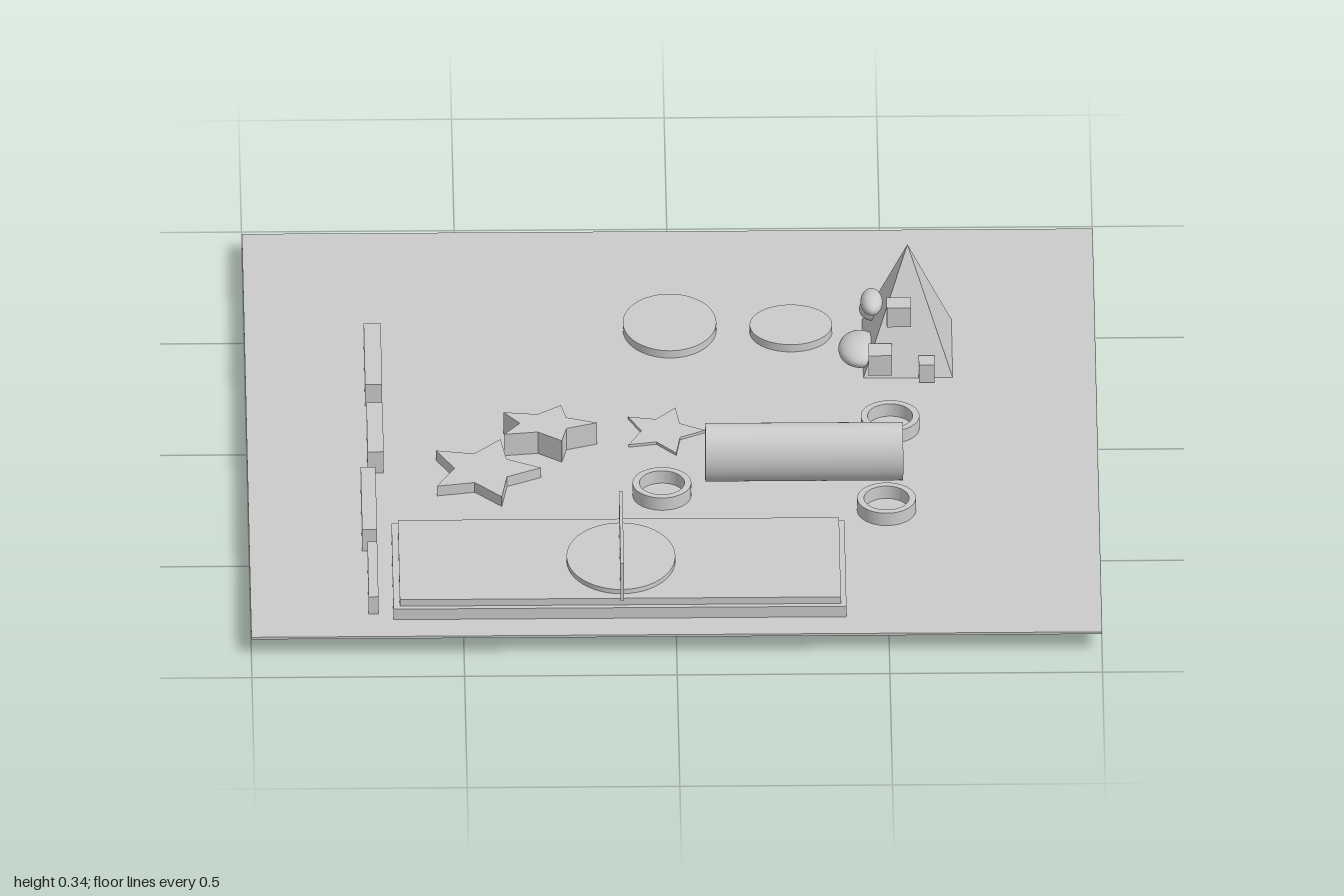
import * as THREE from 'three';

export function createModel() {
  const root = new THREE.Group();
  const mat = new THREE.MeshStandardMaterial({ color: 0xcccccc });
  const flat = new THREE.MeshStandardMaterial({ color: 0xcccccc, flatShading: true });
  const open = new THREE.MeshStandardMaterial({ color: 0xcccccc, side: THREE.DoubleSide });

  const add = (name, geo, x = 0, y = 0, z = 0, material = mat) => {
    const mesh = new THREE.Mesh(geo, material);
    mesh.name = name;
    mesh.position.set(x, y, z);
    root.add(mesh);
    return mesh;
  };
  // Box given by its limits on each axis
  const box = (name, x0, x1, y0, y1, z0, z1) =>
    add(name, new THREE.BoxGeometry(x1 - x0, y1 - y0, z1 - z0), (x0 + x1) / 2, (y0 + y1) / 2, (z0 + z1) / 2);
  // Flat elliptical disc
  const disc = (name, x, z, rx, rz, y0, y1) =>
    add(name, new THREE.CylinderGeometry(1, 1, y1 - y0, 48).scale(rx, 1, rz), x, (y0 + y1) / 2, z);
  // Outline in the ground plane, extruded upwards from y0
  const slab = (name, shape, x, z, y0, y1, curveSegments = 32) => {
    const geo = new THREE.ExtrudeGeometry(shape, { depth: y1 - y0, bevelEnabled: false, curveSegments });
    return add(name, geo.rotateX(-Math.PI / 2), x, y0, z);
  };

  // Ground sheet
  box('groundSheet', -1, 1, 0.047, 0.053, -0.905, 0.905);

  // Field: base, raised plate, centre disc and upright divider
  box('fieldBase', -0.665, 0.4, 0.053, 0.082, 0.445, 0.83);
  box('fieldPlate', -0.65, 0.387, 0.082, 0.1, 0.46, 0.817);
  disc('fieldDisc', -0.128, 0.647, 0.128, 0.15, 0.1, 0.112);
  box('divider', -0.131, -0.123, 0.1, 0.203, 0.502, 0.828);

  // Row of bars beside the field
  [
    [-0.72, -0.68, 0.053, 0.112, -0.405, -0.13],
    [-0.718, -0.68, 0.053, 0.112, 0.05 - 0.1, 0.172],
    [-0.735, -0.70, 0.053, 0.112, 0.24, 0.52],
    [-0.723, -0.70, 0.035, 0.1, 0.555, 0.803],
  ].forEach((b) => box('bar', ...b));

  // Five-pointed stars, partly sunk through the sheet
  [
    [-0.446, 0.196, 0.136, 0.136, 0.012, 0.08],
    [-0.298, 0.048, 0.121, 0.084, 0.012, 0.112],
    [-0.022, 0, 0.1, 0.107, 0.012, 0.06],
  ].forEach(([x, z, rx, rz, y0, y1]) => {
    const pts = [];
    for (let i = 0; i < 10; i++) {
      const r = i % 2 ? 0.5 : 1, a = (i * Math.PI) / 5;
      pts.push(new THREE.Vector2(r * rx * Math.cos(a), r * rz * Math.sin(a)));
    }
    slab('star', new THREE.Shape(pts), x, z, y0, y1);
  });

  // Flat rings
  [[0.513, -0.016], [0.5, 0.353], [-0.027, 0.278]].forEach(([x, z]) => {
    const shape = new THREE.Shape().absarc(0, 0, 0.069, 0, Math.PI * 2);
    shape.holes.push(new THREE.Path().absarc(0, 0, 0.053, 0, Math.PI * 2, true));
    slab('ring', shape, x, z, 0.053, 0.087);
  });

  // Open tunnel lying along x
  const tunnel = new THREE.CylinderGeometry(1, 1, 0.465, 48, 1, true).rotateZ(Math.PI / 2).scale(1, 0.073, 0.056);
  add('tunnel', tunnel, 0.308, 0.128, 0.21, open);

  // Low discs at the back
  disc('lowDisc', 0, -0.464, 0.11, 0.128, 0.053, 0.073);
  disc('lowDisc', 0.285, -0.45, 0.097, 0.09, 0.053, 0.073);

  // Pyramid with its base along the axes
  const pyramid = new THREE.ConeGeometry(Math.SQRT1_2, 1, 4).rotateY(Math.PI / 4).scale(0.21, 0.288, 0.262);
  add('pyramid', pyramid, 0.558, 0.197, -0.371, flat);

  // Rounded stones against the pyramid
  [
    [0.445, 0.08, -0.328, 0.05, 0.03, 0.07],
    [0.473, 0.208, -0.33, 0.026, 0.025, 0.047],
    [0.475, 0.135, -0.418, 0.03, 0.03, 0.021],
  ].forEach(([x, y, z, rx, ry, rz]) =>
    add('stone', new THREE.SphereGeometry(1, 32, 20).scale(rx, ry, rz), x, y, z));

  // Small blocks against the pyramid
  [
    [0.465, 0.52, 0.075, 0.13, -0.27, -0.215],
    [0.508, 0.565, 0.19, 0.243, -0.292, -0.245],
    [0.583, 0.62, 0.057, 0.105, -0.255, -0.212],
    [0.545, 0.59, 0, 0.052, -0.303, -0.22],
  ].forEach((b) => box('block', ...b));

  return root;
}
